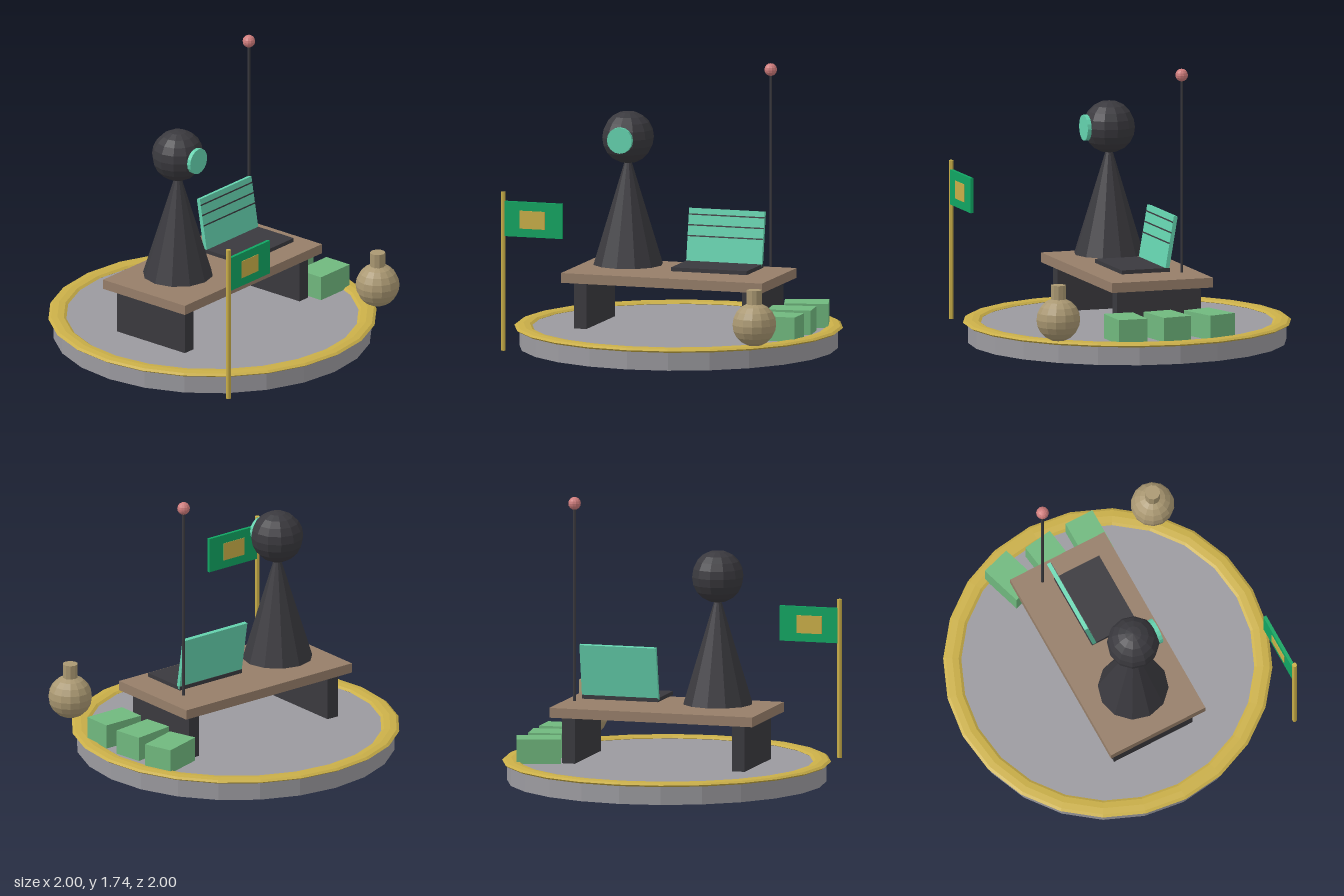
import * as THREE from 'three';

const mat = (name, color) => {
  const m = new THREE.MeshStandardMaterial({ color, flatShading: true });
  m.name = name;
  return m;
};

export function createModel() {
  const model = new THREE.Group();
  model.name = 'deskDiorama';

  const stone = mat('stoneGrey', 0x9b9a9f);
  const gold = mat('gold', 0xc9ae48);
  const wood = mat('woodBrown', 0x967e69);
  const dark = mat('charcoal', 0x3a393e);
  const teal = mat('teal', 0x64d2ae);
  const flagGreen = mat('flagGreen', 0x10a562);
  const crateGreen = mat('crateGreen', 0x70b87e);
  const pink = mat('pink', 0xcf7c7c);
  const tan = mat('tan', 0xaa9872);

  const add = (name, geometry, material, x, y, z, parent = model) => {
    const mesh = new THREE.Mesh(geometry, material);
    mesh.name = name;
    mesh.position.set(x, y, z);
    parent.add(mesh);
    return mesh;
  };
  const group = (name, x, y, z) => {
    const g = new THREE.Group();
    g.name = name;
    g.position.set(x, y, z);
    model.add(g);
    return g;
  };
  const box = (w, h, d) => new THREE.BoxGeometry(w, h, d);
  const rod = (r, h, sides) => new THREE.CylinderGeometry(r, r, h, sides);

  // Round platform with a flattened rim
  add('platform', rod(0.97, 0.12, 24), stone, 0, 0.06, 0);
  const rim = new THREE.TorusGeometry(0.945, 0.055, 8, 24).rotateX(Math.PI / 2).scale(1, 0.28, 1);
  add('platformRim', rim, gold, 0, 0.123, 0);

  // Desk
  add('deskTop', box(1.29, 0.06, 0.65), wood, 0, 0.435, 0);
  for (const side of [-1, 1]) {
    add(side < 0 ? 'rightDeskLeg' : 'leftDeskLeg', box(0.08, 0.285, 0.54), dark, side * 0.54, 0.2625, 0);
  }

  // Cone figure with a round head and a single eye
  const figure = group('figure', -0.325, 0, 0);
  add('body', new THREE.ConeGeometry(0.215, 0.7, 12), dark, 0, 0.84, 0, figure);
  add('head', new THREE.SphereGeometry(0.16, 12, 10), dark, 0, 1.27, 0, figure);
  add('eye', rod(0.08, 0.025, 16).rotateX(Math.PI / 2), teal, 0, 1.27, 0.1525, figure);

  // Laptop: keyboard slab and a leaning screen with lines
  add('laptopBase', box(0.485, 0.024, 0.31), dark, 0.2675, 0.506, 0.06);
  const screen = group('laptopScreen', 0.2675, 0.668, -0.105);
  screen.rotation.x = -0.17;
  add('screenPanel', box(0.485, 0.335, 0.025), teal, 0, 0, 0, screen);
  for (const y of [0.129, 0.064, -0.002]) {
    add('screenLine', box(0.485, 0.008, 0.004), dark, 0, y, 0.0135, screen);
  }

  // Antenna
  add('antennaMast', rod(0.009, 1.2, 8), dark, 0.535, 1.09, -0.162);
  add('antennaBall', new THREE.SphereGeometry(0.039, 12, 8), pink, 0.535, 1.703, -0.162);

  // Flag with an emblem on both faces
  const flag = group('flag', -0.84, 0, 0.835);
  add('flagPole', rod(0.015, 0.975, 8), gold, 0, 0.5425, 0, flag);
  add('flagCloth', box(0.37, 0.215, 0.02), flagGreen, 0.195, 0.867, 0, flag);
  for (const side of [-1, 1]) {
    add('flagEmblem', box(0.16, 0.11, 0.004), gold, 0.19, 0.866, side * 0.011, flag);
  }

  // Flask standing on the rim
  const flask = group('flask', 0.725, 0, 0.7);
  add('flaskBody', new THREE.SphereGeometry(0.134, 14, 10), tan, 0, 0.274, 0, flask);
  add('flaskNeck', rod(0.047, 0.09, 10), tan, 0, 0.44, 0, flask);

  // Row of crates, each turned a little more
  for (const [x, z, turn] of [[0.73, 0.268, 0], [0.724, -0.003, 0.14], [0.728, -0.272, 0.3]]) {
    add('crate', box(0.27, 0.15, 0.185), crateGreen, x, 0.197, z).rotation.y = turn;
  }

  return model;
}
